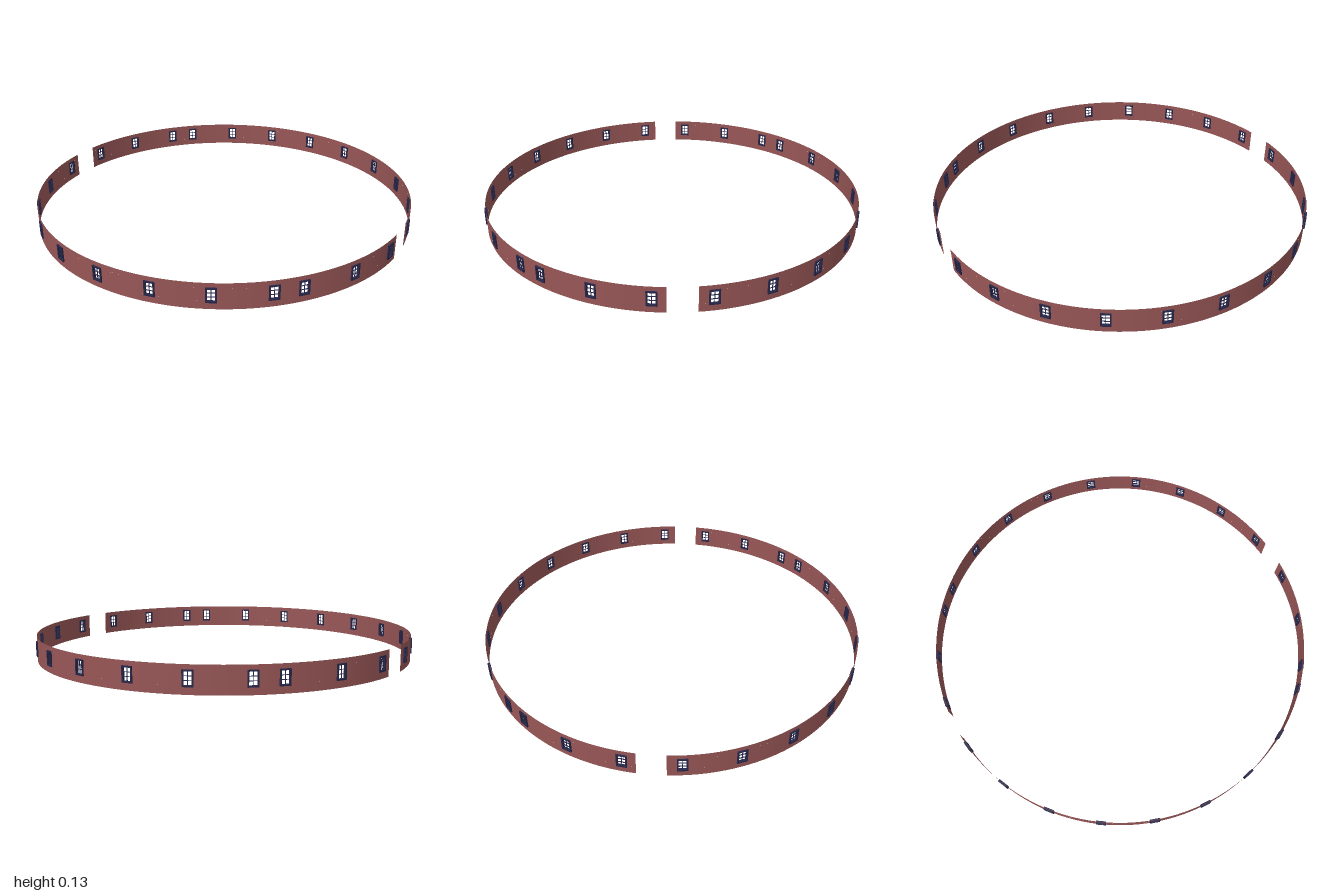
import * as THREE from 'three';

const RADIUS = 0.993, HEIGHT = 0.13;
const WIN = { w: 0.05, h: 0.074, y: 0.071, border: 0.007, depth: 0.013 };
const STEP = 15.65;               // degrees between windows
const START = 47.1, END = 219.2;  // one half of the ring, the rest is doorway

const brick = new THREE.MeshStandardMaterial({ color: 0x985656, side: THREE.DoubleSide });
const navy = new THREE.MeshStandardMaterial({ color: 0x26264a });

const rad = THREE.MathUtils.degToRad;

// Window angles of one half, measured from +x towards +z
const angles = [];
for (let k = 2; k >= 0; k--) angles.push(82.1 - k * STEP);
for (let k = 0; k <= 8; k++) angles.push(90 + k * STEP);

// Curved sheet of wall between two angles and two heights
function wallPiece(a0, a1, y0, y1, name) {
  const segments = Math.max(1, Math.round((a1 - a0) / 2));
  const geo = new THREE.CylinderGeometry(RADIUS, RADIUS, y1 - y0, segments, 1, true, rad(90 - a1), rad(a1 - a0));
  geo.translate(0, (y0 + y1) / 2, 0);
  const mesh = new THREE.Mesh(geo, brick);
  mesh.name = name;
  return mesh;
}

// Frame with a rectangular opening, one upright and two cross bars
const innerW = WIN.w - 2 * WIN.border, innerH = WIN.h - 2 * WIN.border;

function rectangle(path, w, h) {
  path.moveTo(-w / 2, -h / 2);
  path.lineTo(w / 2, -h / 2);
  path.lineTo(w / 2, h / 2);
  path.lineTo(-w / 2, h / 2);
  path.closePath();
  return path;
}

const frameShape = rectangle(new THREE.Shape(), WIN.w, WIN.h);
frameShape.holes.push(rectangle(new THREE.Path(), innerW, innerH));
const frameGeo = new THREE.ExtrudeGeometry(frameShape, { depth: WIN.depth, bevelEnabled: false });
frameGeo.translate(0, 0, -WIN.depth / 2);
const uprightGeo = new THREE.BoxGeometry(0.0025, innerH, 0.004);
const crossGeo = new THREE.BoxGeometry(innerW, 0.0025, 0.004);

function makeWindow(angle) {
  const group = new THREE.Group();
  group.name = 'window';
  const add = (geo, name, y = 0) => {
    const mesh = new THREE.Mesh(geo, navy);
    mesh.name = name;
    mesh.position.y = y;
    group.add(mesh);
  };
  add(frameGeo, 'windowFrame');
  add(uprightGeo, 'uprightBar');
  for (const s of [-1, 1]) add(crossGeo, 'crossBar', s * innerH / 6);
  group.position.set(RADIUS * Math.cos(rad(angle)), WIN.y, RADIUS * Math.sin(rad(angle)));
  group.rotation.y = rad(90 - angle);
  return group;
}

function makeHalfRing() {
  const half = new THREE.Group();
  half.name = 'halfRing';
  // Opening edges sit hidden inside the frame border
  const low = WIN.y - innerH / 2 - 0.002, high = WIN.y + innerH / 2 + 0.002;
  const halfAngle = THREE.MathUtils.radToDeg((innerW / 2 + 0.002) / RADIUS);
  half.add(wallPiece(START, END, 0, low, 'lowerWall'));
  half.add(wallPiece(START, END, high, HEIGHT, 'upperWall'));
  let from = START;
  for (const a of angles) {
    half.add(wallPiece(from, a - halfAngle, low, high, 'wallBetweenWindows'));
    half.add(makeWindow(a));
    from = a + halfAngle;
  }
  half.add(wallPiece(from, END, low, high, 'wallBetweenWindows'));
  return half;
}

export function createModel() {
  const model = new THREE.Group();
  model.name = 'ringWall';
  // Two identical halves with a doorway gap between them
  for (let i = 0; i < 2; i++) {
    const half = makeHalfRing();
    half.rotation.y = i * Math.PI;
    model.add(half);
  }
  return model;
}
